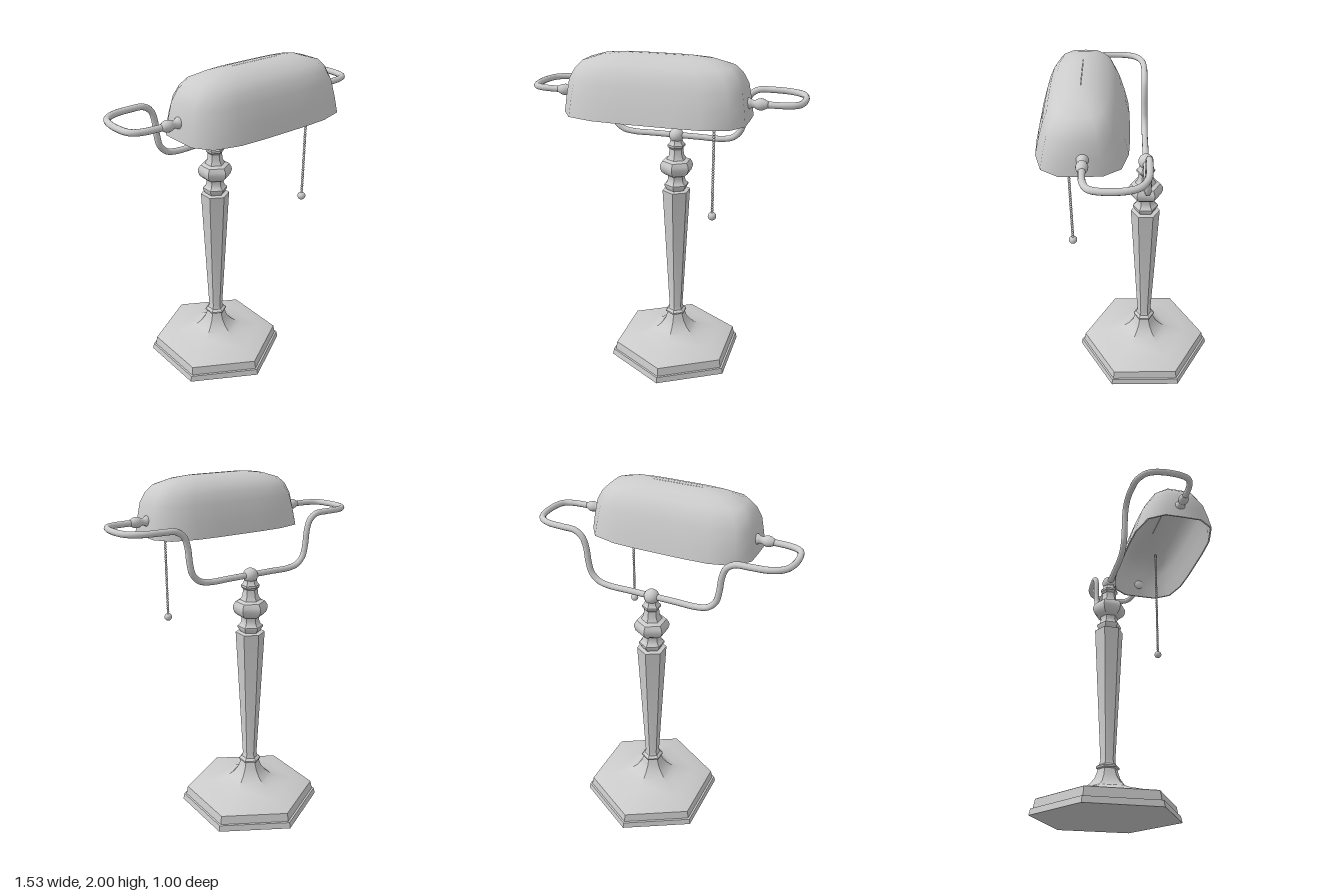
import * as THREE from 'three';
import { mergeGeometries, mergeVertices, toCreasedNormals } from 'three/addons/utils/BufferGeometryUtils.js';

const material = new THREE.MeshStandardMaterial({ color: 0xcccccc });
const shadeMaterial = new THREE.MeshStandardMaterial({ color: 0xcccccc, side: THREE.DoubleSide });
const STEM_Z = -0.076;
const PIVOT = { y: 1.772, z: 0.245 };

function addPart(parent, name, geometry, mat = material) {
  const mesh = new THREE.Mesh(geometry, mat);
  mesh.name = name;
  parent.add(mesh);
  return mesh;
}

// Six-sided turning; profile is [half width across flats, height]
function hexTurning(profile) {
  const points = profile.map(([w, y]) => new THREE.Vector2(w / Math.cos(Math.PI / 6), y));
  return toCreasedNormals(new THREE.LatheGeometry(points, 6), 0.6);
}

// Stacks closed rings of equal point count into one skin
function loft(rings) {
  const n = rings[0].length;
  const index = [];
  for (let r = 0; r < rings.length - 1; r++) {
    for (let i = 0; i < n; i++) {
      const a = r * n + i, b = r * n + (i + 1) % n;
      index.push(a, a + n, b, b, a + n, b + n);
    }
  }
  const geometry = new THREE.BufferGeometry();
  geometry.setAttribute('position', new THREE.Float32BufferAttribute(rings.flat(2), 3));
  geometry.setIndex(index);
  return geometry;
}

function shadeGeometry() {
  // Quarter outline in plan, mirrored into a full loop
  const quarter = [[0.49, 0], [0.488, 0.11], [0.425, 0.2], [0.285, 0.238], [0.14, 0.245]];
  const half = [...quarter, [0, 0.245], ...quarter.slice(1).reverse().map(([x, z]) => [-x, z])];
  const outline = [...half, ...half.map(([x, z]) => [-x, -z])];
  // Height, half length and half depth of each level
  const levels = [
    [1.685, 0.49, 0.245], [1.77, 0.479, 0.224], [1.86, 0.464, 0.196],
    [1.915, 0.435, 0.17], [1.955, 0.395, 0.136], [1.985, 0.3, 0.08], [1.998, 0.2, 0.035], [2.0, 0.16, 0.001],
  ];
  const ring = (y, halfX, halfZ) => outline.map(([x, z]) => [x * halfX / 0.49, y, z * halfZ / 0.245 + 0.259]);
  const t = 0.008;
  const outer = levels.map((l) => ring(...l));
  const inner = levels.map(([y, x, z], i) => ring(i ? y - t : y, x - t, Math.max(z - t, 0.001)));
  return toCreasedNormals(loft([...inner.reverse(), ...outer]), 0.75);
}

export function createModel() {
  const lamp = new THREE.Group();
  lamp.name = 'deskLamp';

  // Stepped hexagonal foot sweeping up to the column
  const stand = new THREE.Group();
  stand.name = 'stand';
  stand.position.z = STEM_Z;
  lamp.add(stand);
  addPart(stand, 'base', hexTurning([
    [0, 0], [0.368, 0], [0.361, 0.036], [0.35, 0.037], [0.341, 0.088], [0.334, 0.092],
    [0.24, 0.116], [0.148, 0.146], [0.115, 0.163], [0.085, 0.19], [0.062, 0.225], [0.048, 0.272],
  ]));

  // Tapered column between its collars
  addPart(stand, 'column', hexTurning([
    [0.046, 0.27], [0.058, 0.276], [0.058, 0.286], [0.043, 0.298], [0.037, 0.32],
    [0.074, 1.125], [0.05, 1.13],
  ]));

  // Faceted neck with its swelling
  addPart(stand, 'neck', hexTurning([
    [0.05, 1.128], [0.064, 1.155], [0.064, 1.165], [0.05, 1.178], [0.044, 1.2], [0.046, 1.22],
    [0.06, 1.226], [0.08, 1.245], [0.088, 1.272], [0.086, 1.29], [0.074, 1.312], [0.052, 1.322],
    [0.04, 1.345], [0.036, 1.385], [0.046, 1.398], [0.046, 1.41], [0.034, 1.425], [0.03, 1.45],
  ]));
  addPart(stand, 'topBall', new THREE.SphereGeometry(0.043, 20, 14)).position.y = 1.465;

  // Bent rod: up from the neck, outward, then forward to the shade pivots
  const side = [
    [0.14, 1.467, STEM_Z], [0.27, 1.467, STEM_Z], [0.335, 1.482, STEM_Z], [0.378, 1.525, STEM_Z],
    [0.394, 1.585, STEM_Z], [0.405, 1.68, STEM_Z], [0.425, 1.735, STEM_Z], [0.47, 1.767, STEM_Z],
    [0.55, PIVOT.y, STEM_Z], [0.65, PIVOT.y, -0.065], [0.715, PIVOT.y, -0.025], [0.742, PIVOT.y, 0.045],
    [0.742, PIVOT.y, 0.16], [0.722, PIVOT.y, 0.212], [0.67, PIVOT.y, 0.237], [0.55, PIVOT.y, PIVOT.z],
  ];
  const path = [
    ...side.map(([x, y, z]) => [-x, y, z]).reverse(), [0, 1.467, STEM_Z], ...side,
  ].map((p) => new THREE.Vector3(...p));
  addPart(lamp, 'supportRod', new THREE.TubeGeometry(new THREE.CatmullRomCurve3(path), 160, 0.0175, 12));

  // Turned pivots joining rod and shade
  const pivotProfile = [
    [0, 0.463], [0.03, 0.463], [0.031, 0.478], [0.022, 0.492], [0.019, 0.508], [0.027, 0.52],
    [0.031, 0.537], [0.029, 0.553], [0.022, 0.567], [0.017, 0.578], [0, 0.579],
  ].map(([r, x]) => new THREE.Vector2(r, x));
  for (const s of [1, -1]) {
    const pivot = addPart(lamp, s > 0 ? 'leftPivot' : 'rightPivot', new THREE.LatheGeometry(pivotProfile, 16));
    pivot.rotation.z = -s * Math.PI / 2;
    pivot.position.set(0, PIVOT.y, PIVOT.z);
  }

  addPart(lamp, 'shade', shadeGeometry(), shadeMaterial);

  // Beaded pull chain
  const beads = [];
  for (let y = 1.185; y < 1.94; y += 0.0145) {
    beads.push(new THREE.SphereGeometry(0.008, 8, 6).translate(0, y, 0));
  }
  const chain = new THREE.Group();
  chain.name = 'pullChain';
  chain.position.set(0.321, 0, 0.33);
  lamp.add(chain);
  addPart(chain, 'chainBeads', mergeVertices(mergeGeometries(beads)));
  addPart(chain, 'chainKnob', new THREE.SphereGeometry(0.023, 16, 12)).position.y = 1.163;

  return lamp;
}
